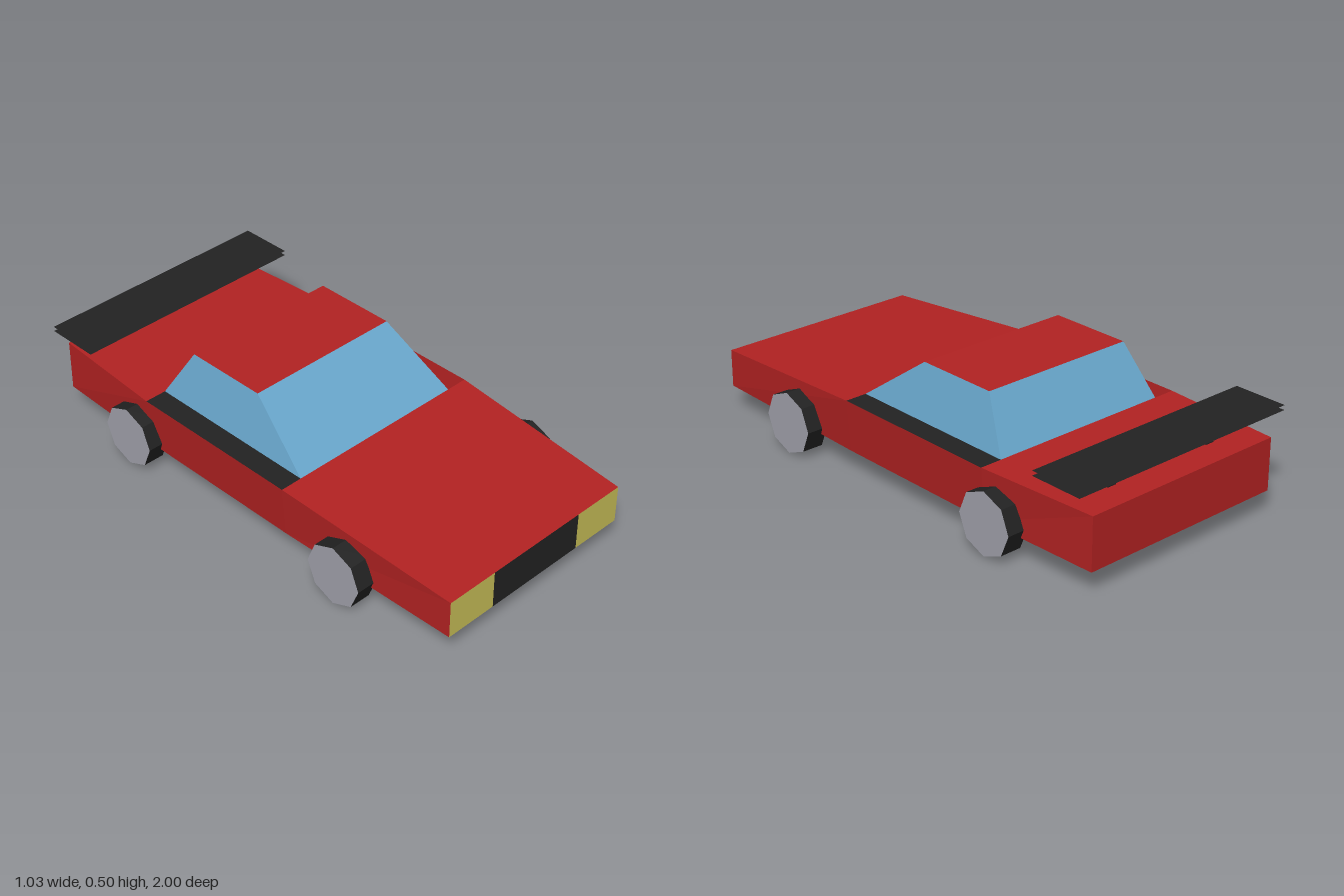
import * as THREE from 'three';

const paint = (name, color) => {
  const m = new THREE.MeshStandardMaterial({ color, side: THREE.DoubleSide });
  m.name = name;
  return m;
};

// Flat panels from four-cornered faces, corners anticlockwise from outside
function panels(name, material, quads) {
  const pos = quads.flatMap(([a, b, c, d]) => [a, b, c, a, c, d].flat());
  const g = new THREE.BufferGeometry();
  g.setAttribute('position', new THREE.Float32BufferAttribute(pos, 3));
  g.computeVertexNormals();
  const mesh = new THREE.Mesh(g, material);
  mesh.name = name;
  return mesh;
}

export function createModel() {
  const red = paint('red paint', 0xb22222);
  const black = paint('black trim', 0x222222);
  const blue = paint('blue glass', 0x68a6cb);
  const yellow = paint('yellow lamp', 0xc8be58);
  const grey = paint('grey hub', 0xa0a0aa);
  const car = new THREE.Group();
  car.name = 'car';

  // Body stations from nose to tail: z, half width at bottom and top, top height
  const base = 0.098;
  const stations = [
    [1, 0.435, 0.435, 0.25],
    [0.23, 0.454, 0.47, 0.305],
    [-0.5, 0.454, 0.47, 0.305],
    [-1, 0.437, 0.437, 0.305],
  ];
  const low = (s, k) => [k * s[1], base, s[0]];
  const high = (s, k) => [k * s[2], s[3], s[0]];
  const [nose, cowl, deck, tail] = stations;

  for (const k of [1, -1]) {
    const sides = [];
    for (let i = 0; i < 3; i++) {
      const a = stations[i], b = stations[i + 1];
      const q = [low(a, k), low(b, k), high(b, k), high(a, k)];
      sides.push(k > 0 ? q : q.reverse());
    }
    car.add(panels(k > 0 ? 'leftSide' : 'rightSide', red, sides));
  }
  const deckPanel = (a, b) => [high(a, -1), high(a, 1), high(b, 1), high(b, -1)];
  car.add(panels('hood', red, [deckPanel(nose, cowl)]));
  car.add(panels('trunkLid', red, [deckPanel(deck, tail)]));
  car.add(panels('rearPanel', red, [[low(tail, 1), low(tail, -1), high(tail, -1), high(tail, 1)]]));
  car.add(panels('floor', black, [[
    [-0.435, base, -1], [0.435, base, -1], [0.435, base, 1], [-0.435, base, 1],
  ]]));

  // Nose: grille between two lamps
  const face = (x0, x1) => [[[x0, base, 1], [x1, base, 1], [x1, 0.25, 1], [x0, 0.25, 1]]];
  car.add(panels('grille', black, face(-0.218, 0.218)));
  car.add(panels('leftHeadlight', yellow, face(0.218, 0.435)));
  car.add(panels('rightHeadlight', yellow, face(-0.435, -0.218)));

  // Cabin: rings of corners at the base and the roof
  const ring = (x, y, z0, z1) => [[-x, y, z0], [x, y, z0], [x, y, z1], [-x, y, z1]];
  const sill = ring(0.38, 0.305, 0.23, -0.5);
  const roof = ring(0.327, 0.505, -0.043, -0.383);
  car.add(panels('windows', blue, sill.map((p, i) => {
    const j = (i + 1) % 4;
    return [p, sill[j], roof[j], roof[i]];
  })));
  car.add(panels('roof', red, [roof]));

  // Rear wing: two thin blades on a pair of flat struts
  const wing = new THREE.Group();
  wing.name = 'rearWing';
  for (const y of [0.39, 0.409]) {
    wing.add(panels('wingBlade', black, [ring(0.5, y, -0.78, -1)]));
  }
  for (const x of [-0.24, 0.24]) {
    wing.add(panels('wingStrut', black, [[
      [x - 0.02, 0.305, -0.89], [x + 0.02, 0.305, -0.89], [x + 0.02, 0.39, -0.89], [x - 0.02, 0.39, -0.89],
    ]]));
  }
  car.add(wing);

  // Eight-sided wheels with grey caps
  const wheelShape = new THREE.CylinderGeometry(0.124, 0.124, 0.088, 8).toNonIndexed();
  wheelShape.rotateZ(Math.PI / 2);
  wheelShape.computeVertexNormals();
  for (const [label, y, z] of [['front', 0.125, 0.53], ['rear', 0.132, -0.564]]) {
    for (const k of [1, -1]) {
      const wheel = new THREE.Mesh(wheelShape, [black, grey, grey]);
      wheel.name = label + (k > 0 ? 'LeftWheel' : 'RightWheel');
      wheel.position.set(k * 0.473, y, z);
      car.add(wheel);
    }
  }
  return car;
}
